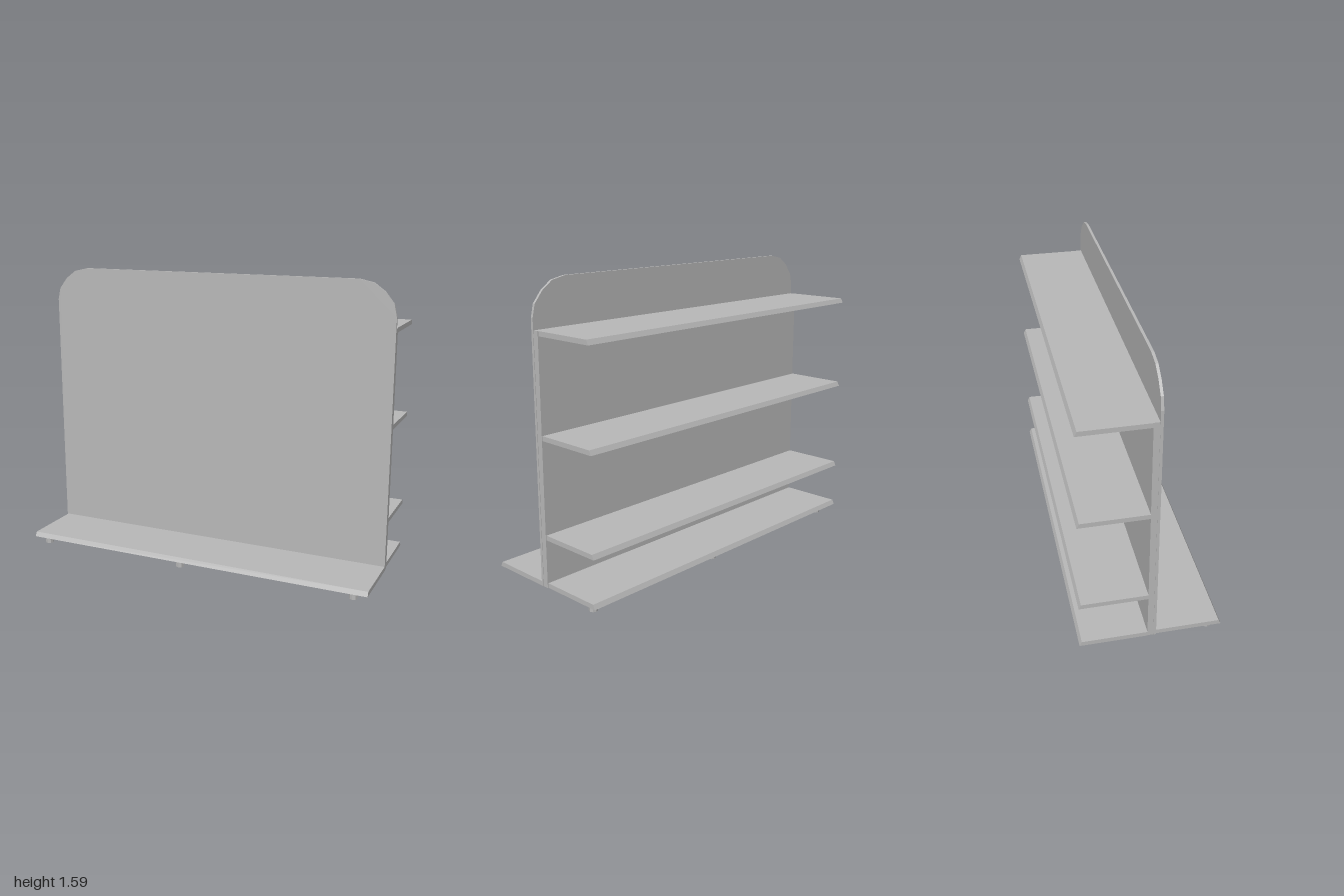
import * as THREE from 'three';

export function createModel() {
  const group = new THREE.Group();
  group.name = 'shelvingUnit';
  const grey = new THREE.MeshStandardMaterial({ color: 0xb8b8b8, flatShading: true });
  grey.name = 'grey';

  const add = (name, geometry, x = 0, y = 0, z = 0) => {
    const mesh = new THREE.Mesh(geometry, grey);
    mesh.name = name;
    mesh.position.set(x, y, z);
    group.add(mesh);
    return mesh;
  };

  // Thin front sheet with rounded, faceted top corners
  const baseY = 0.047;
  const corner = [[1, 1.405], [0.985, 1.47], [0.937, 1.53], [0.878, 1.573], [0.8, 1.59]];
  const outline = [
    [-1, baseY], [1, baseY],
    ...corner,
    ...corner.slice().reverse().map(([x, y]) => [-x, y]),
  ];
  const sheet = new THREE.Shape(outline.map(([x, y]) => new THREE.Vector2(x, y)));
  add('frontSheet', new THREE.ExtrudeGeometry(sheet, { depth: 0.014, bevelEnabled: false }), 0, 0, 0.011);

  // Thicker core behind the sheet, ending level with the top shelf
  add('backPanel', new THREE.BoxGeometry(1.996, 1.3, 0.031), 0, baseY + 0.65, -0.0045);

  // Shelf with a sloping outer edge, wider at the underside
  const shelfGeometry = (inner) => {
    const profile = new THREE.Shape([
      new THREE.Vector2(inner, 0), new THREE.Vector2(0.373, 0),
      new THREE.Vector2(0.361, 0.025), new THREE.Vector2(inner, 0.025),
    ]);
    const geometry = new THREE.ExtrudeGeometry(profile, { depth: 1.994, bevelEnabled: false });
    geometry.translate(0, 0, -0.997);
    return geometry.rotateY(-Math.PI / 2);
  };

  // Front base and the four back shelves
  add('frontBase', shelfGeometry(0.025), 0.003, baseY, 0);
  [baseY, 0.302, 0.813, 1.322].forEach((y, i) => {
    const shelf = add(i ? 'backShelf' : 'backBase', shelfGeometry(0.02), -0.003, y, 0);
    shelf.rotation.y = Math.PI;
  });

  // Three small feet under each base, mirrored front to back
  const foot = new THREE.CylinderGeometry(0.023, 0.023, baseY, 8);
  for (const x of [-0.937, -0.075, 0.912]) {
    add('frontFoot', foot, x, baseY / 2, 0.313);
    add('backFoot', foot, -x, baseY / 2, -0.295);
  }
  return group;
}
